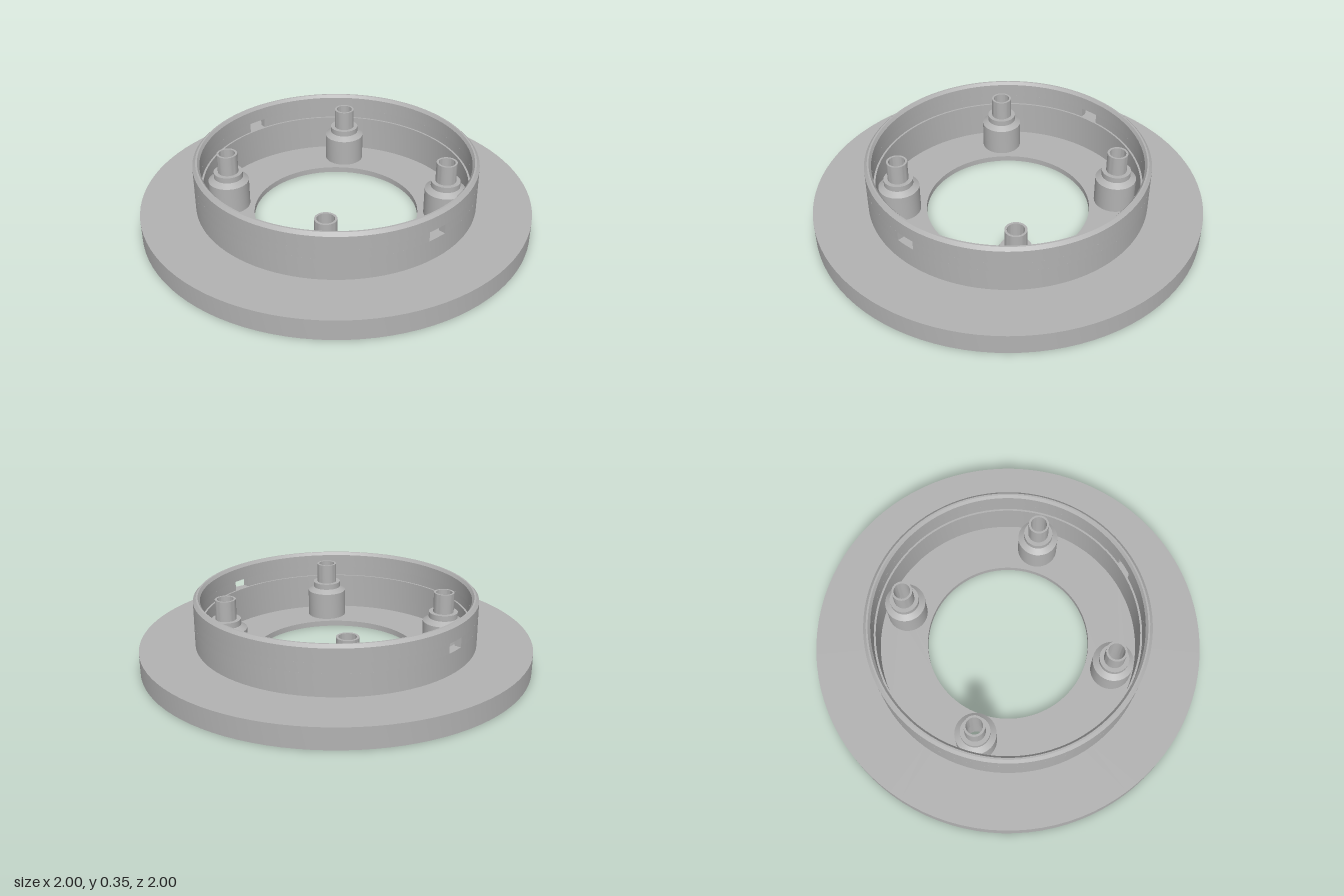
import * as THREE from 'three';
import { toCreasedNormals } from 'three/addons/utils/BufferGeometryUtils.js';

export function createModel() {
  const model = new THREE.Group();
  model.name = 'flangedHousing';
  const grey = new THREE.MeshStandardMaterial({ color: 0xb2b2b2 });
  grey.name = 'grey plastic';

  const addMesh = (name, geometry, parent = model) => {
    const mesh = new THREE.Mesh(toCreasedNormals(geometry, 0.35), grey);
    mesh.name = name;
    parent.add(mesh);
    return mesh;
  };

  // Revolve a closed [radius, height] outline, listed counter-clockwise
  const revolve = (outline, segments) => new THREE.LatheGeometry(
    [...outline, outline[0]].map(([r, y]) => new THREE.Vector2(r, y)), segments);

  // Extrude a plan shape upwards from height y
  const slab = (shape, y, height, curveSegments) => {
    const g = new THREE.ExtrudeGeometry(shape, { depth: height, bevelEnabled: false, curveSegments });
    return g.rotateX(-Math.PI / 2).translate(0, y, 0);
  };

  // Flange with hollow underside, continuing into the lower wall
  addMesh('flangeAndLowerWall', revolve([
    [0.675, 0.03], [0.71, 0.03], [0.71, 0.05], [0.745, 0.05], [0.745, 0.078],
    [0.95, 0.078], [0.95, 0], [1, 0], [1, 0.107], [0.72, 0.107], [0.72, 0.22], [0.675, 0.22],
  ], 96));

  // Wall band broken by a slot at the front and the back
  const slotHalf = 0.07;
  for (const side of [0, 1]) {
    const a0 = -Math.PI / 2 + slotHalf + side * Math.PI;
    const a1 = a0 + Math.PI - 2 * slotHalf;
    const arc = new THREE.Shape();
    arc.absarc(0, 0, 0.72, a0, a1, false);
    arc.absarc(0, 0, 0.685, a1, a0, true);
    arc.closePath();
    addMesh(side ? 'rightSlottedWall' : 'leftSlottedWall', slab(arc, 0.22, 0.05, 24));
  }

  // Chamfered upper rim
  addMesh('upperRim', revolve([
    [0.685, 0.27], [0.72, 0.27], [0.72, 0.34], [0.705, 0.355], [0.696, 0.355], [0.685, 0.34],
  ], 96));

  // Floor with the large opening and four screw holes
  const postOffset = 0.396;
  const corners = [[1, 1], [1, -1], [-1, 1], [-1, -1]];
  const floor = new THREE.Shape();
  floor.absarc(0, 0, 0.71, 0, Math.PI * 2, false);
  const cutHole = (x, y, r) => {
    const hole = new THREE.Path();
    hole.absarc(x, y, r, 0, Math.PI * 2, true);
    floor.holes.push(hole);
  };
  cutHole(0, 0, 0.425);
  corners.forEach(([sx, sz]) => cutHole(sx * postOffset, sz * postOffset, 0.052));
  addMesh('floor', slab(floor, 0, 0.03, 48));

  // Stepped hollow screw posts
  const postShape = revolve([
    [0.052, 0.03], [0.105, 0.03], [0.105, 0.175], [0.075, 0.195], [0.075, 0.225],
    [0.053, 0.225], [0.053, 0.33], [0.042, 0.33], [0.042, 0.18], [0.052, 0.18],
  ], 40);
  const posts = new THREE.Group();
  posts.name = 'screwPosts';
  model.add(posts);
  for (const [sx, sz] of corners) {
    addMesh('screwPost', postShape, posts).position.set(sx * postOffset, 0, sz * postOffset);
  }

  return model;
}
